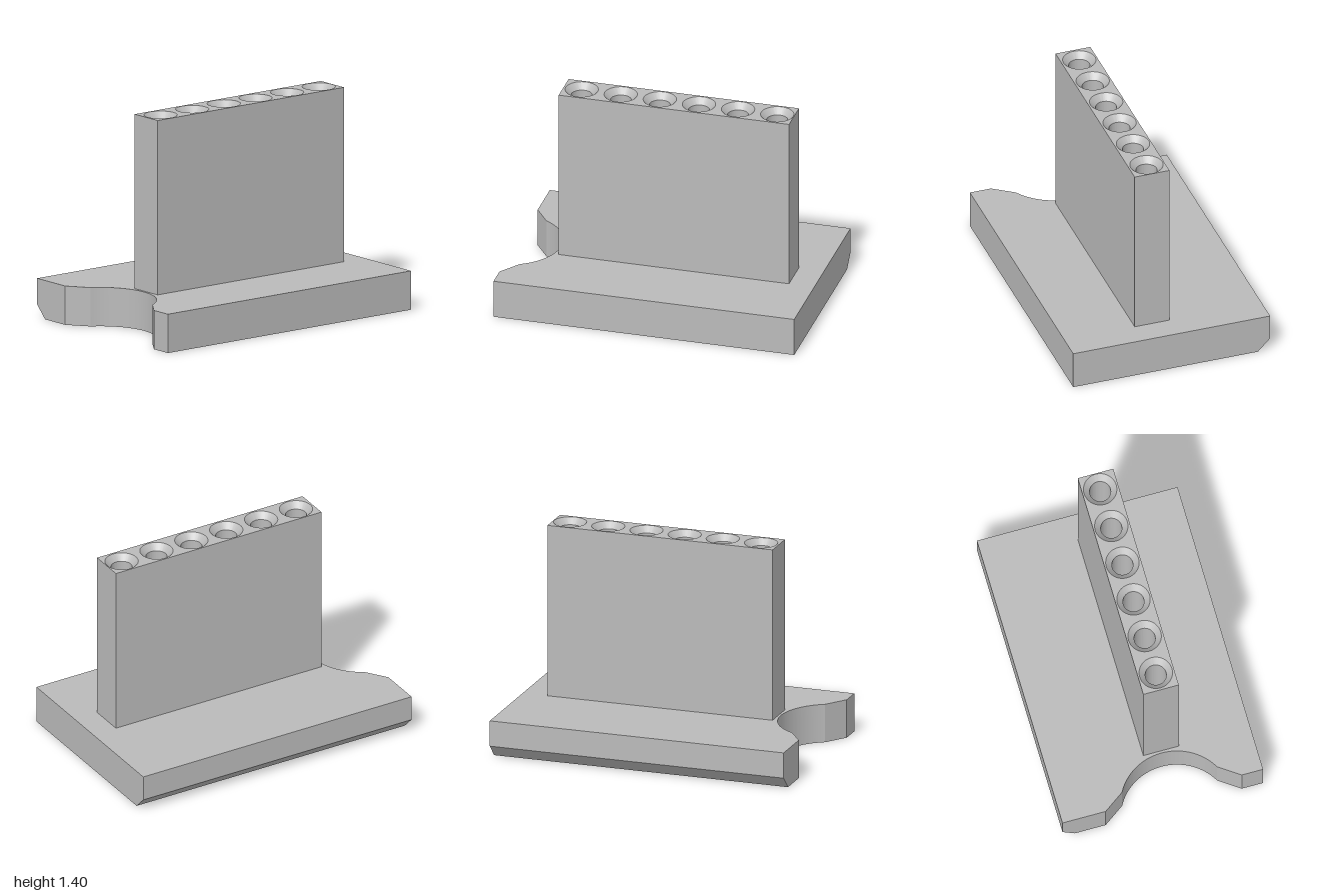
import * as THREE from 'three';
import { toCreasedNormals } from 'three/addons/utils/BufferGeometryUtils.js';

const BASE_H = 0.255, TOP = 1.4, CX = 0.073;
const grey = new THREE.MeshStandardMaterial({ color: 0xbababa });
grey.name = 'plain grey';

function add(group, name, geometry) {
  const mesh = new THREE.Mesh(geometry, grey);
  mesh.name = name;
  group.add(mesh);
  return mesh;
}

// Plan outlines are drawn with shape y = -z, then laid flat
function extrudeUp(shape, depth, steps = 1) {
  return new THREE.ExtrudeGeometry(shape, { depth, steps, bevelEnabled: false, curveSegments: 40 })
    .rotateX(-Math.PI / 2);
}

// Base slab with a rounded, flared notch in the front edge
function baseGeometry() {
  const r = 0.36, cz = 1.075, a = Math.asin(0.316 / r);
  const plan = new THREE.Shape();
  plan.moveTo(-0.668, -1);
  plan.lineTo(-0.38, -1);
  plan.absarc(CX, -cz, r, Math.PI / 2 + a, Math.PI / 2 - a, true);
  plan.lineTo(0.526, -1);
  plan.lineTo(0.668, -1);
  plan.lineTo(0.668, 1);
  plan.lineTo(-0.668, 1);
  plan.closePath();
  const geo = extrudeUp(plan, BASE_H, 3);
  // Chamfer: pull the lowest right-hand edge inward
  const p = geo.attributes.position;
  for (let i = 0; i < p.count; i++) {
    if (p.getY(i) < 0.01 && p.getX(i) < -0.66) p.setX(i, -0.585);
  }
  return toCreasedNormals(geo, 0.35);
}

export function createModel() {
  const model = new THREE.Group();
  model.name = 'holderStand';
  add(model, 'base', baseGeometry());

  // Upright wall with a row of holes from the top
  const plan = new THREE.Shape();
  plan.moveTo(-0.044, -0.7);
  plan.lineTo(0.192, -0.7);
  plan.lineTo(0.192, 0.832);
  plan.lineTo(-0.044, 0.832);
  plan.closePath();
  const holeZ = Array.from({ length: 6 }, (_, i) => -0.72 + i * 0.26);
  for (const z of holeZ) {
    plan.holes.push(new THREE.Path().absarc(CX, -z, 0.107, 0, Math.PI * 2, true));
  }
  const wall = add(model, 'wall', toCreasedNormals(extrudeUp(plan, TOP - BASE_H), 0.35));
  wall.position.y = BASE_H;

  // Countersunk hole linings, facing inward
  const profile = [[0.107, TOP], [0.068, TOP - 0.04], [0.068, BASE_H]]
    .map(([x, y]) => new THREE.Vector2(x, y));
  const lining = toCreasedNormals(new THREE.LatheGeometry(profile, 80), 0.35);
  holeZ.forEach((z, i) => {
    add(model, 'hole' + (i + 1), lining).position.set(CX, 0, z);
  });
  return model;
}
